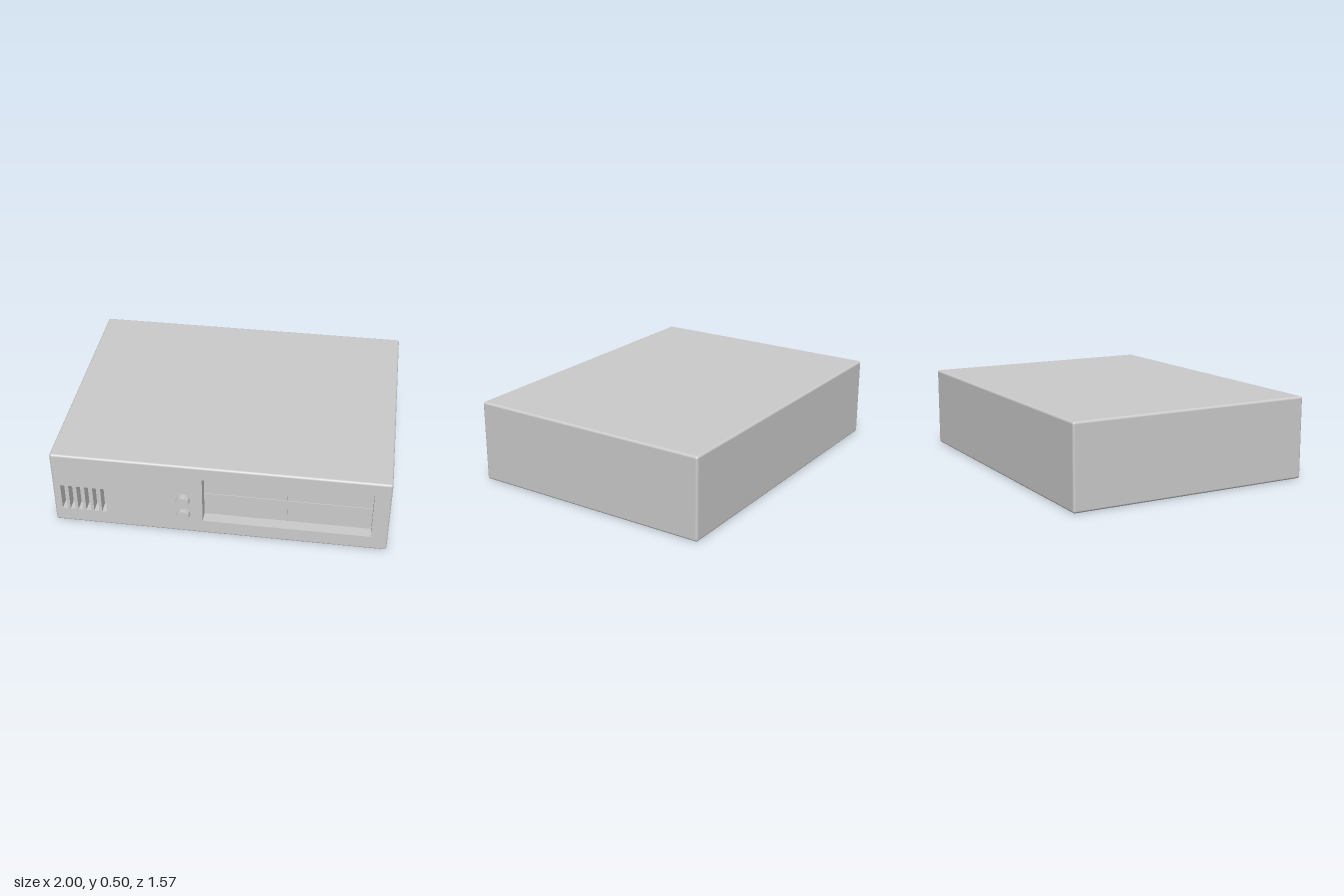
import * as THREE from 'three';
import { RoundedBoxGeometry } from 'three/addons/geometries/RoundedBoxGeometry.js';

const W = 2, H = 0.5, BACK = -0.785, FRONT = 0.745, R = 0.014, DEPTH = 0.07;
const VENT = { x: -0.953, y: 0.096, w: 0.03, h: 0.177, pitch: 0.0487, count: 6 };
const BAY = { x: -0.096, y: 0.096, w: 0.998, h: 0.316 };

function rectPoints(x, y, w, h) {
  return [[x, y], [x + w, y], [x + w, y + h], [x, y + h]].map(([a, b]) => new THREE.Vector2(a, b));
}

// Rounded case with the flat part of its front face left out
function openCase() {
  const src = new RoundedBoxGeometry(W, H, FRONT - BACK, 4, R);
  src.translate(0, H / 2, (FRONT + BACK) / 2);
  const p = src.attributes.position, n = src.attributes.normal;
  const pos = [], nor = [];
  for (let i = 0; i < p.count; i += 3) {
    if ([0, 1, 2].every(k => p.getZ(i + k) > FRONT - 1e-5)) continue;
    for (let k = i; k < i + 3; k++) {
      pos.push(p.getX(k), p.getY(k), p.getZ(k));
      nor.push(n.getX(k), n.getY(k), n.getZ(k));
    }
  }
  const geo = new THREE.BufferGeometry();
  geo.setAttribute('position', new THREE.Float32BufferAttribute(pos, 3));
  geo.setAttribute('normal', new THREE.Float32BufferAttribute(nor, 3));
  return geo;
}

export function createModel() {
  const group = new THREE.Group();
  const smooth = new THREE.MeshStandardMaterial({ color: 0xcccccc });
  const faceted = new THREE.MeshStandardMaterial({ color: 0xcccccc, flatShading: true });

  const add = (name, geo, mat = faceted) => {
    const mesh = new THREE.Mesh(geo, mat);
    mesh.name = name;
    group.add(mesh);
    return mesh;
  };
  // Box given by its lower left corner and its front plane
  const addBox = (name, x, y, w, h, front, d) =>
    add(name, new THREE.BoxGeometry(w, h, d)).position.set(x + w / 2, y + h / 2, front - d / 2);

  add('case', openCase(), smooth);

  // Front plate pierced by the drive bay and the vent slots
  const plate = new THREE.Shape(rectPoints(-W / 2 + R, R, W - 2 * R, H - 2 * R));
  plate.holes.push(new THREE.Path(rectPoints(BAY.x, BAY.y, BAY.w, BAY.h)));
  for (let i = 0; i < VENT.count; i++) {
    plate.holes.push(new THREE.Path(rectPoints(VENT.x + i * VENT.pitch, VENT.y, VENT.w, VENT.h)));
  }
  const plateGeo = new THREE.ExtrudeGeometry(plate, { depth: DEPTH, bevelEnabled: false });
  plateGeo.translate(0, 0, FRONT - DEPTH);
  add('frontPlate', plateGeo);

  // Floor of the vent slots
  const inner = FRONT - DEPTH;
  addBox('ventBacking', VENT.x - 0.02, VENT.y - 0.02,
    VENT.pitch * VENT.count + 0.03, VENT.h + 0.04, inner, 0.02);

  // Two by two drive covers separated by narrow seams
  const gap = 0.004, w = BAY.w / 2, h = BAY.h / 2;
  addBox('bayBacking', BAY.x, BAY.y, BAY.w, BAY.h, inner - 0.012, 0.02);
  for (let c = 0; c < 2; c++) {
    for (let r = 0; r < 2; r++) {
      addBox('driveCover', BAY.x + c * (w + gap / 2), BAY.y + r * (h + gap / 2),
        w - gap / 2, h - gap / 2, inner, 0.012);
    }
  }

  // Push buttons
  for (const [name, y] of [['upperButton', 0.249], ['lowerButton', 0.143]]) {
    const geo = new THREE.CylinderGeometry(0.042, 0.042, 0.06, 10);
    geo.rotateY(Math.PI / 2).rotateX(Math.PI / 2);
    add(name, geo).position.set(-0.21, y, FRONT + 0.01);
  }
  return group;
}
